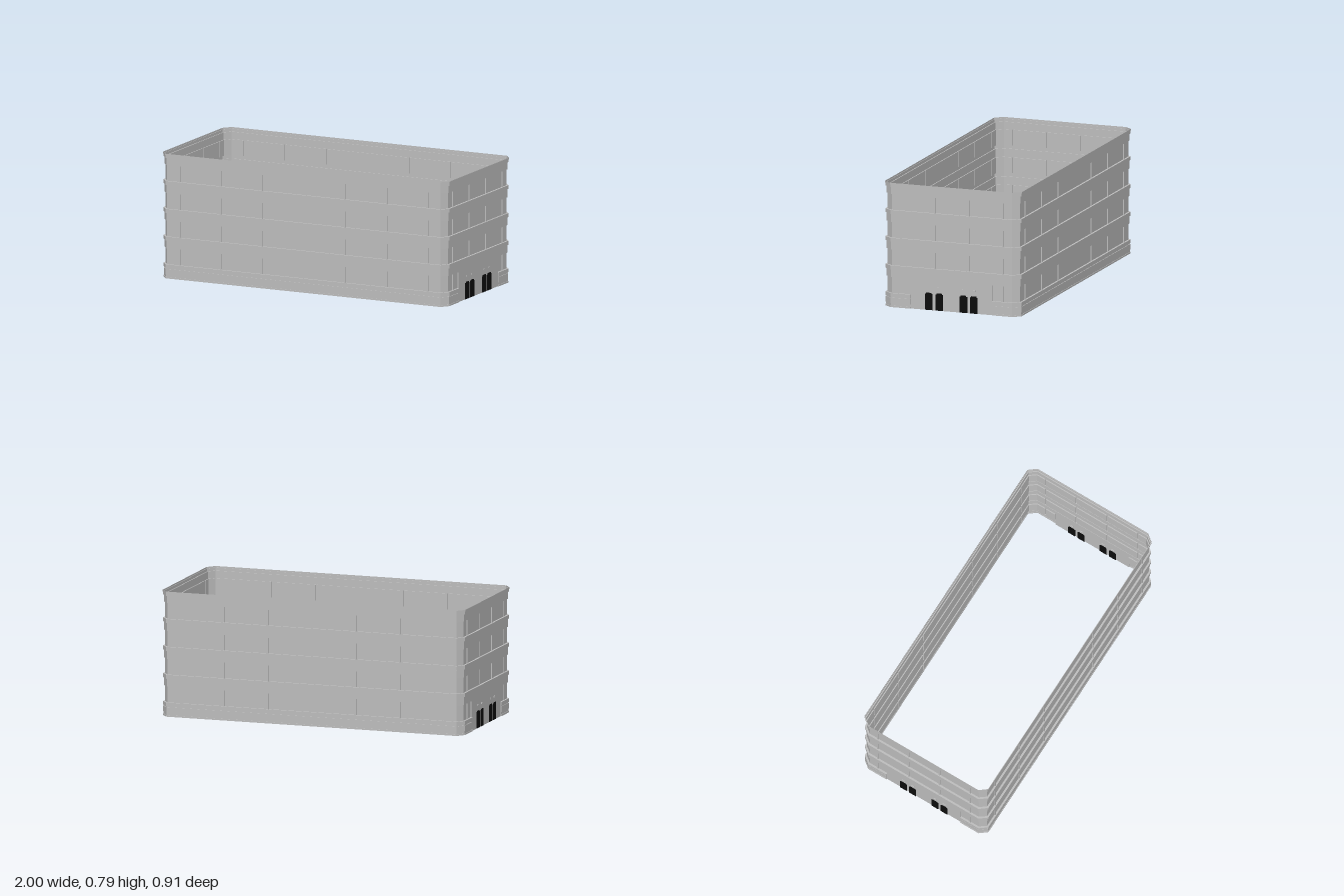
import * as THREE from 'three';

const HX = 1, HZ = 0.455;               // outermost half sizes
const LEDGE = 0.003, FASCIA = 0.009, GLASS = 0.015; // depths behind the outermost line
const RIB = 0.004;                      // half width of a window divider

// Plan stations along one side: [position, kind], kind picks the depth in each profile row
function stations(half, ribs, entrance) {
  const list = [[-half, 'corner']];
  const rib = (u, around, kind) =>
    list.push([u - RIB, around], [u - RIB, kind], [u + RIB, kind], [u + RIB, around]);
  if (entrance) {
    rib(-0.338, 'wall', 'rib');
    list.push([-0.27, 'wall'], [-0.27, 'door']);
    rib(-0.113, 'door', 'doorRib');
    rib(0.113, 'door', 'doorRib');
    list.push([0.27, 'door'], [0.27, 'wall']);
    rib(0.338, 'wall', 'rib');
  } else {
    ribs.forEach((u) => rib(u, 'wall', 'rib'));
  }
  list.push([half, 'corner']);
  return list;
}

const END = stations(0.405, [], true);
const LONG = stations(0.96, [-0.865, -0.58, -0.288, 0.288, 0.58, 0.865], false);
const SIDES = [
  { n: [1, 0], t: [0, -1], h: HX, s: END },
  { n: [0, -1], t: [-1, 0], h: HZ, s: LONG },
  { n: [-1, 0], t: [0, 1], h: HX, s: END },
  { n: [0, 1], t: [1, 0], h: HZ, s: LONG },
];

// One closed outline round the building for a profile row
function outline({ y, wall, rib, door, doorRib }) {
  const depth = { corner: wall, wall, rib, door, doorRib };
  const pts = [];
  for (const { n, t, h, s } of SIDES) {
    for (const [u, kind] of s) {
      const d = depth[kind];
      const a = kind === 'corner' ? u - Math.sign(u) * 0.41 * d : u;
      pts.push([n[0] * (h - d) + t[0] * a, y, n[1] * (h - d) + t[1] * a]);
    }
  }
  return pts;
}

// Vertical profile: mouldings, then alternating window strips and fascias
function profile() {
  const rows = [];
  const band = (y0, y1, wall, rib = wall, ground = false) => {
    const door = ground ? FASCIA : wall;
    const doorRib = ground ? FASCIA : rib;
    for (const y of [y0, y1]) rows.push({ y, wall, rib, door, doorRib });
  };
  band(0, 0.01, LEDGE, LEDGE, true);
  band(0.01, 0.025, 0.006, 0.006, true);
  band(0.025, 0.06, 0.004, 0.004, true);
  band(0.06, 0.066, 0.008, 0.008, true);
  band(0.066, 0.089, LEDGE, LEDGE, true);
  const floors = [[0.089, 0.19, 0.24, 0.265], [0.265, 0.365, 0.416, 0.441],
    [0.441, 0.541, 0.594, 0.618], [0.618, 0.718, 0.764, 0.782]];
  floors.forEach(([sill, head, ledge, top], i) => {
    band(sill, head, GLASS, FASCIA, i === 0);
    band(head, ledge, FASCIA);
    band(ledge, top, LEDGE);
  });
  band(0.782, 0.792, 0);
  return rows;
}

function shellGeometry() {
  const rings = profile().map(outline);
  const pos = [];
  for (let r = 0; r < rings.length - 1; r++) {
    const lo = rings[r], hi = rings[r + 1];
    for (let i = 0; i < lo.length; i++) {
      const j = (i + 1) % lo.length;
      pos.push(...lo[i], ...lo[j], ...hi[j], ...lo[i], ...hi[j], ...hi[i]);
    }
  }
  const g = new THREE.BufferGeometry();
  g.setAttribute('position', new THREE.Float32BufferAttribute(pos, 3));
  g.computeVertexNormals();
  return g;
}

export function createModel() {
  const concrete = new THREE.MeshStandardMaterial({ color: 0xbebebe, side: THREE.DoubleSide });
  concrete.name = 'concrete grey';
  const black = new THREE.MeshStandardMaterial({ color: 0x0c0c0c });
  black.name = 'door black';

  const model = new THREE.Group();
  model.name = 'officeBuilding';

  // Hollow outer wall, open at top and bottom
  const walls = new THREE.Mesh(shellGeometry(), concrete);
  walls.name = 'walls';
  model.add(walls);

  // Entrances on both short ends
  const plate = (name, mat, w, h, depth, x, y, z) => {
    const m = new THREE.Mesh(new THREE.BoxGeometry(depth, h, w), mat);
    m.name = name;
    m.position.set(x, y, z);
    return m;
  };
  for (const side of [1, -1]) {
    const entrance = new THREE.Group();
    entrance.name = side > 0 ? 'leftEntrance' : 'rightEntrance';
    const x = side * (HX - FASCIA);
    for (const z of [0.15, 0.082, -0.08, -0.148]) {
      entrance.add(plate('door', black, 0.049, 0.102, 0.009, x, 0.052, z));
      entrance.add(plate('doorHead', black, 0.035, 0.008, 0.009, x, 0.106, z));
      // small lamp above each door
      entrance.add(plate('lamp', concrete, 0.02, 0.01, 0.008, x, 0.145, z));
    }
    model.add(entrance);
  }
  return model;
}
